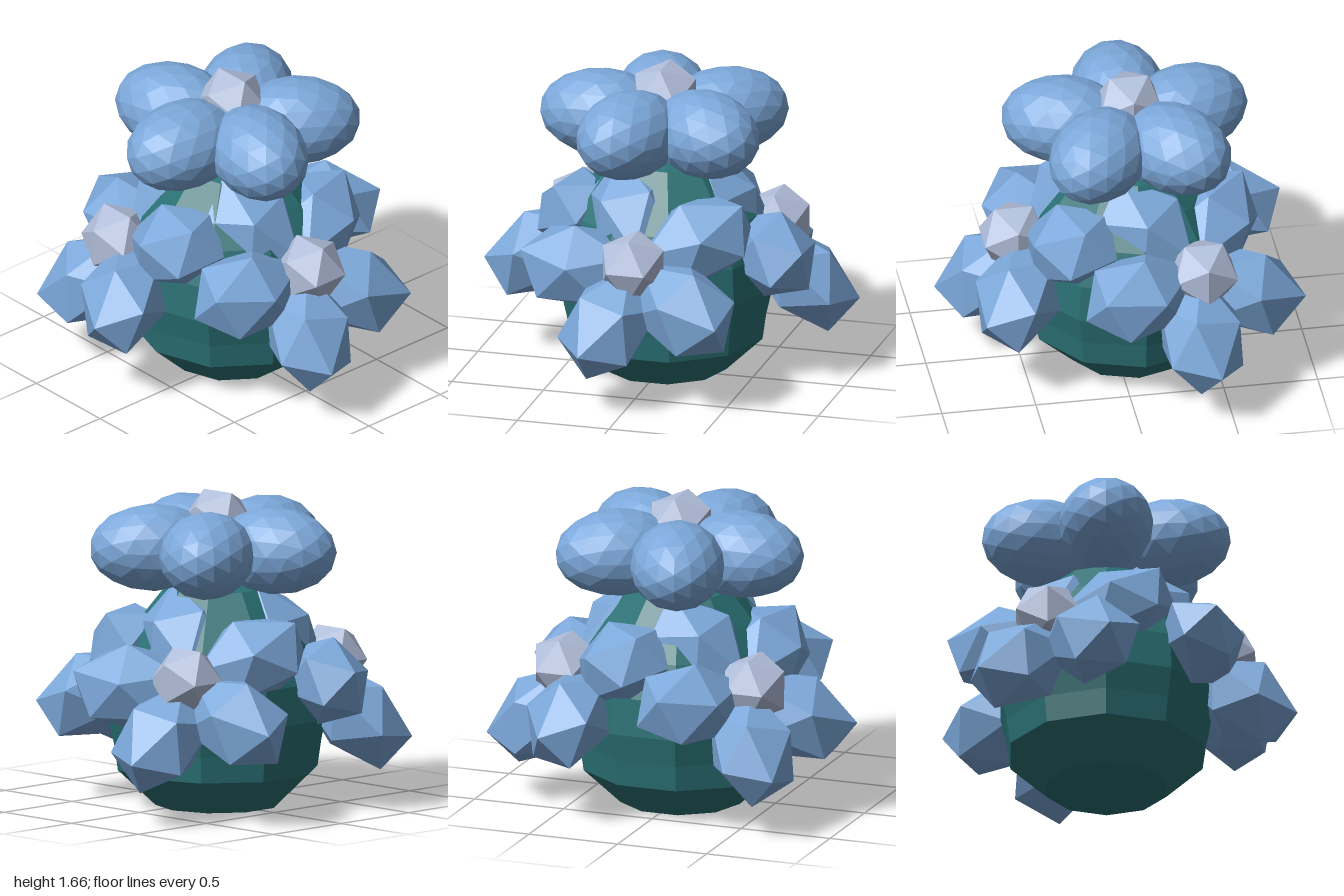
import * as THREE from 'three';

export function createModel() {
  const model = new THREE.Group();
  const mat = (name, color) => {
    const m = new THREE.MeshStandardMaterial({ color, flatShading: true });
    m.name = name;
    return m;
  };
  const teal = mat('teal', 0x2a7175);
  const blue = mat('petal blue', 0x7ca8da);
  const pale = mat('pale lilac', 0xb2bfdb);

  const add = (parent, name, geometry, material, x, y, z) => {
    const mesh = new THREE.Mesh(geometry, material);
    mesh.name = name;
    mesh.position.set(x, y, z);
    parent.add(mesh);
    return mesh;
  };

  // Everything is arranged around this slightly offset axis
  const plant = new THREE.Group();
  plant.name = 'plant';
  plant.position.x = -0.08;
  model.add(plant);

  // Ten-sided bulb body
  const profile = [
    [0, 0], [0.33, 0], [0.53, 0.19], [0.55, 0.33], [0.585, 0.48], [0.57, 0.68],
    [0.5, 0.87], [0.41, 1.0], [0.28, 1.16], [0, 1.24],
  ].map(([r, y]) => new THREE.Vector2(r, y));
  add(plant, 'body', new THREE.LatheGeometry(profile, 10), teal, 0, 0, 0);

  // Ring of five stretched petals, the first pointing along +z
  const flower = (name, detail) => {
    const group = new THREE.Group();
    group.name = name;
    const geo = new THREE.IcosahedronGeometry(1, detail);
    geo.scale(0.25, 0.23, 0.34);
    for (let i = 0; i < 5; i++) {
      const a = (i * Math.PI * 2) / 5;
      const petal = add(group, 'petal', geo, blue, 0.34 * Math.sin(a), 0, 0.34 * Math.cos(a));
      petal.rotation.y = a;
    }
    return group;
  };
  const heart = new THREE.IcosahedronGeometry(0.195, 0);

  // Large flower on top
  const top = flower('topFlower', 2);
  top.position.y = 1.37;
  plant.add(top);
  add(plant, 'topFlowerCentre', heart, pale, 0, 1.495, 0);

  // Three tilted flowers around the body; their centres stay upright
  for (let k = 0; k < 3; k++) {
    const a = (k * Math.PI * 2) / 3;
    const arm = new THREE.Group();
    arm.name = 'sideFlower';
    arm.rotation.y = a;
    const side = flower('sidePetals', 0);
    side.position.set(0.495, 0.685, 0);
    side.rotation.z = -Math.PI / 4;
    arm.add(side);
    plant.add(arm);
    add(plant, 'sideFlowerCentre', heart, pale, 0.615 * Math.cos(a), 0.748, -0.615 * Math.sin(a));
  }
  return model;
}
